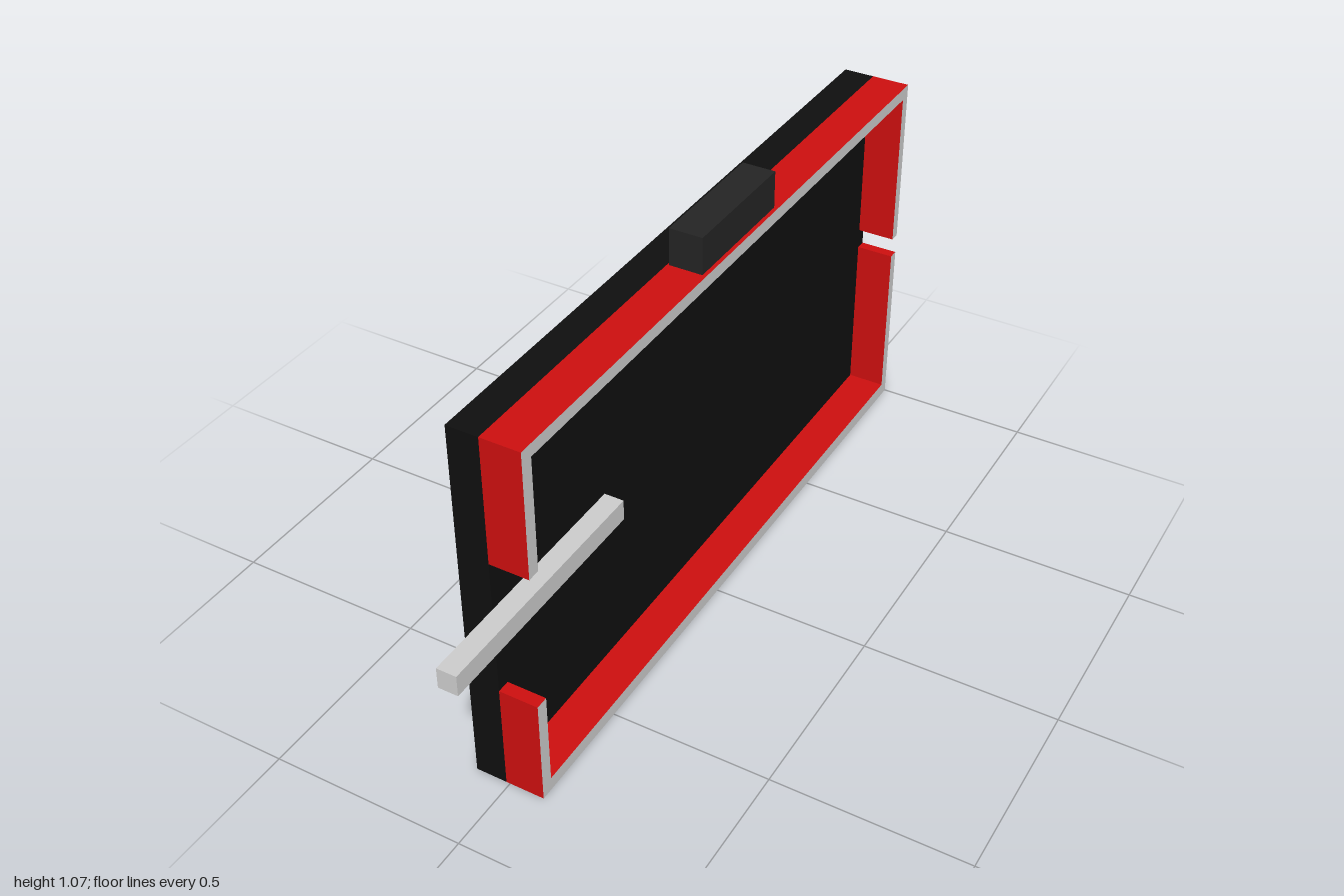
import * as THREE from 'three';

const paint = (color) => new THREE.MeshStandardMaterial({ color });

export function createModel() {
  const group = new THREE.Group();
  const grey = paint(0xcccccc), red = paint(0xcc0f0f);
  const black = paint(0x0f0f0f), charcoal = paint(0x242424);

  // Box given by its [min, max] range on each axis
  function block(name, [x0, x1], [y0, y1], [z0, z1], material) {
    const mesh = new THREE.Mesh(new THREE.BoxGeometry(x1 - x0, y1 - y0, z1 - z0), material);
    mesh.position.set((x0 + x1) / 2, (y0 + y1) / 2, (z0 + z1) / 2);
    mesh.name = name;
    group.add(mesh);
  }

  // U-shaped half of the rim: grey edge, red walls; drawn in (-z, y), extruded along x
  function rimHalf(name, edge, inner, frontEnd, backEnd) {
    const points = [
      [-0.8, edge], [1, edge], [1, backEnd], [0.973, backEnd],
      [0.973, inner], [-0.767, inner], [-0.767, frontEnd], [-0.8, frontEnd],
    ].map(([u, v]) => new THREE.Vector2(u, v));
    const geometry = new THREE.ExtrudeGeometry(new THREE.Shape(points), { depth: 0.1, bevelEnabled: false });
    geometry.rotateY(Math.PI / 2).translate(-0.01, 0, 0);
    const mesh = new THREE.Mesh(geometry, [grey, red]);
    mesh.name = name;
    group.add(mesh);
  }

  // Flat panel closing one side of the case
  block('backPanel', [-0.09, -0.01], [0, 0.975], [-1, 0.8], black);

  // Rim halves, leaving a wide gap in front and a narrow slot behind
  rimHalf('lowerRim', 0, 0.035, 0.285, 0.468);
  rimHalf('upperRim', 0.975, 0.943, 0.648, 0.522);

  // Bar sticking out through the front gap
  block('bar', [-0.01, 0.04], [0.468, 0.522], [0.355, 1], grey);

  // Block on the top edge
  block('topBlock', [-0.005, 0.08], [0.975, 1.07], [-0.27, 0.07], charcoal);

  return group;
}
